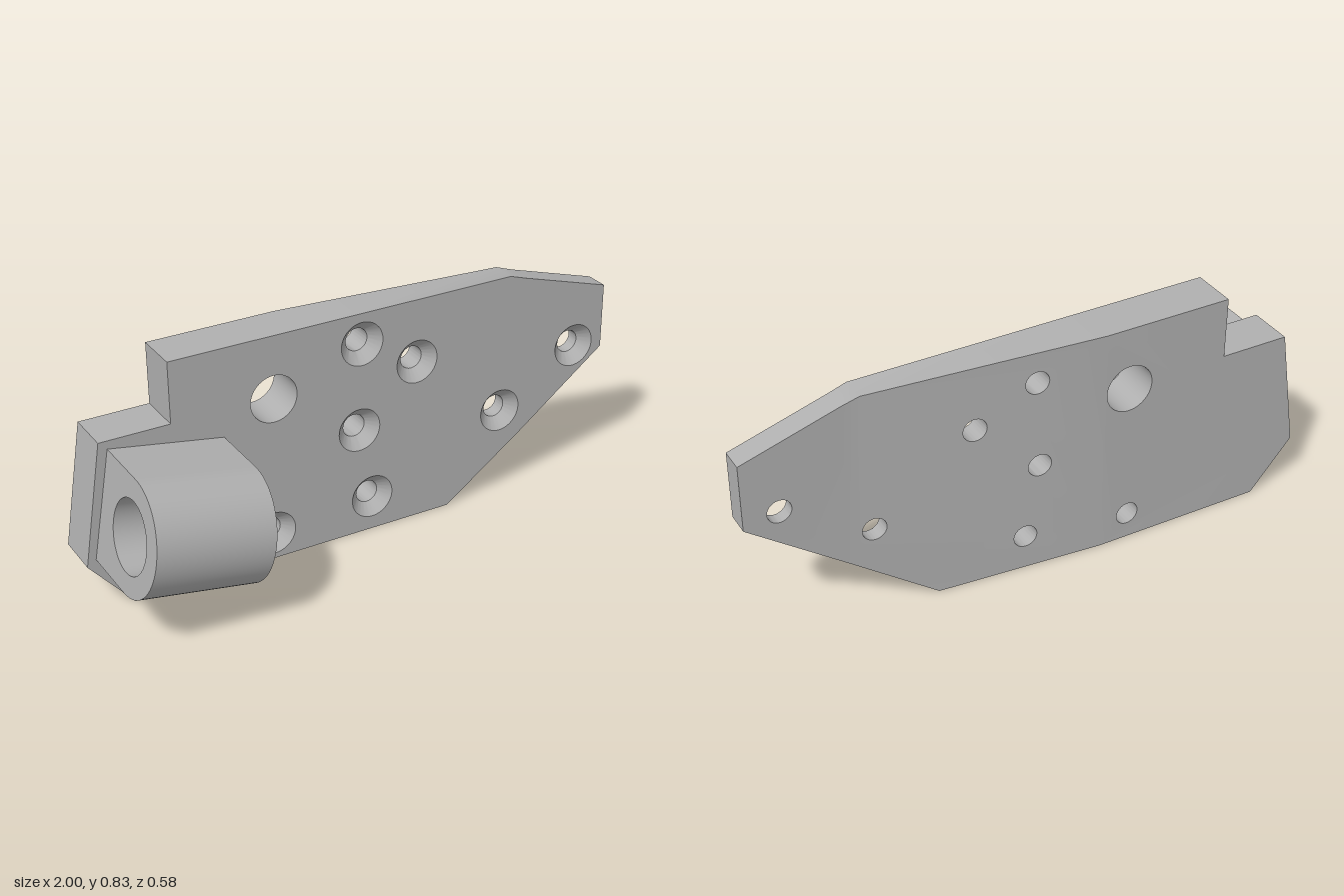
import * as THREE from 'three';
import { mergeGeometries, toCreasedNormals } from 'three/addons/utils/BufferGeometryUtils.js';

const V2 = (x, y) => new THREE.Vector2(x, y);

// Clockwise circle, used for bores (walls then face inwards)
function circle(cx, cy, r, n = 48) {
  return Array.from({ length: n }, (_, i) => {
    const a = (-i / n) * Math.PI * 2;
    return V2(cx + r * Math.cos(a), cy + r * Math.sin(a));
  });
}

// Flat or bent face with holes; zAt gives depth from x
function cap(outline, holes, zAt, flip = false) {
  const shape = new THREE.Shape(outline);
  holes.forEach((h) => shape.holes.push(new THREE.Path(h)));
  const g = new THREE.ShapeGeometry(shape).toNonIndexed();
  const p = g.attributes.position;
  const out = [];
  for (let i = 0; i < p.count; i += 3) {
    for (const k of flip ? [0, 2, 1] : [0, 1, 2]) {
      const x = p.getX(i + k);
      out.push(x, p.getY(i + k), zAt(x));
    }
  }
  return fromPositions(out);
}

// Wall between two matching closed loops, near loop first
function wall(near, zNear, far, zFar) {
  const out = [];
  near.forEach((p, i) => {
    const j = (i + 1) % near.length;
    const a = [p.x, p.y, zNear(p.x)];
    const b = [near[j].x, near[j].y, zNear(near[j].x)];
    const c = [far[i].x, far[i].y, zFar(far[i].x)];
    const d = [far[j].x, far[j].y, zFar(far[j].x)];
    out.push(...a, ...c, ...b, ...b, ...c, ...d);
  });
  return fromPositions(out);
}

function fromPositions(list) {
  const g = new THREE.BufferGeometry();
  g.setAttribute('position', new THREE.Float32BufferAttribute(list, 3));
  g.computeVertexNormals();
  return g;
}

function makeMesh(name, parts, material) {
  const mesh = new THREE.Mesh(toCreasedNormals(mergeGeometries(parts), 0.4), material);
  mesh.name = name;
  return mesh;
}

const at = (z) => () => z;

function makePlate(material) {
  const front = at(-0.125);
  const x1 = -0.225, x2 = 0.66;
  // Back face tapers between x1 and x2
  const back = (x) => -0.288 + 0.078 * THREE.MathUtils.clamp((x - x1) / (x2 - x1), 0, 1);

  const top1 = V2(x1, 0.833), bottom1 = V2(x1, 0);
  const top2 = V2(x2, 0.813), bottom2 = V2(x2, 0.215);
  const leftEnd = [top1, V2(-0.683, 0.833), V2(-0.683, 0.615), V2(-0.93, 0.615),
    V2(-1, 0.18), V2(-0.845, 0), bottom1];
  const middle = [bottom1, V2(0.36, 0), bottom2, top2, V2(0.6, 0.833), top1];
  const rightEnd = [bottom2, V2(1, 0.472), V2(1, 0.71), top2];
  const outline = [...leftEnd, V2(0.36, 0), ...rightEnd, V2(0.6, 0.833)];

  // Countersunk screw holes and one plain hole
  const screws = [[0.015, 0.722], [0.228, 0.603], [0.003, 0.402], [0.88, 0.503],
    [0.572, 0.324], [-0.328, 0.098], [0.052, 0.128]];
  const holes = screws.map(([x, y]) => ({ x, mouth: circle(x, y, 0.079), bore: circle(x, y, 0.041) }));
  const plain = circle(-0.316, 0.606, 0.085);
  holes.push({ x: -0.316, mouth: plain, bore: plain });

  const boresIn = (lo, hi) => holes.filter((h) => h.x > lo && h.x < hi).map((h) => h.bore);
  const parts = [
    cap(outline, holes.map((h) => h.mouth), front),
    cap(leftEnd, boresIn(-1, x1), back, true),
    cap(middle, boresIn(x1, x2), back, true),
    cap(rightEnd, boresIn(x2, 1), back, true),
    wall(outline, front, outline, back),
  ];
  for (const { mouth, bore } of holes) {
    if (mouth === bore) {
      parts.push(wall(bore, front, bore, back));
    } else {
      const seat = at(-0.165);
      parts.push(wall(mouth, front, bore, seat), wall(bore, seat, bore, back));
    }
  }
  return makeMesh('mountingPlate', parts, material);
}

function makeBoss(material) {
  const r = 0.196, cx = -0.093, length = 0.408;
  // D-shaped section, local x points to the back of the model
  const section = [V2(0.13, -r), V2(0.13, r)];
  for (let i = 0; i <= 32; i++) {
    const a = Math.PI / 2 + (i / 32) * Math.PI;
    section.push(V2(cx + r * Math.cos(a), r * Math.sin(a)));
  }
  // Stepped bore: [radius, depth]
  const steps = [[0.14, 0], [0.14, -0.03], [0.0875, -0.03], [0.0875, -0.088],
    [0.123, -0.088], [0.123, -length]];
  const rings = steps.map(([rad, z]) => ({ loop: circle(cx, 0, rad, 64), z: at(z) }));
  const parts = [
    cap(section, [rings[0].loop], at(0)),
    cap(section, [rings[5].loop], at(-length), true),
    wall(section, at(0), section, at(-length)),
  ];
  for (let i = 0; i < 5; i++) {
    parts.push(wall(rings[i].loop, rings[i].z, rings[i + 1].loop, rings[i + 1].z));
  }
  const boss = makeMesh('tiltedBoss', parts, material);
  boss.position.set(-0.533, 0.323, 0);
  boss.rotation.set(0, Math.PI / 2, -0.173, 'ZYX');
  return boss;
}

export function createModel() {
  const material = new THREE.MeshStandardMaterial({ color: 0xb0b0b0 });
  material.name = 'plain grey metal';
  const group = new THREE.Group();
  group.name = 'mountingBracket';
  group.add(makePlate(material), makeBoss(material));
  return group;
}
